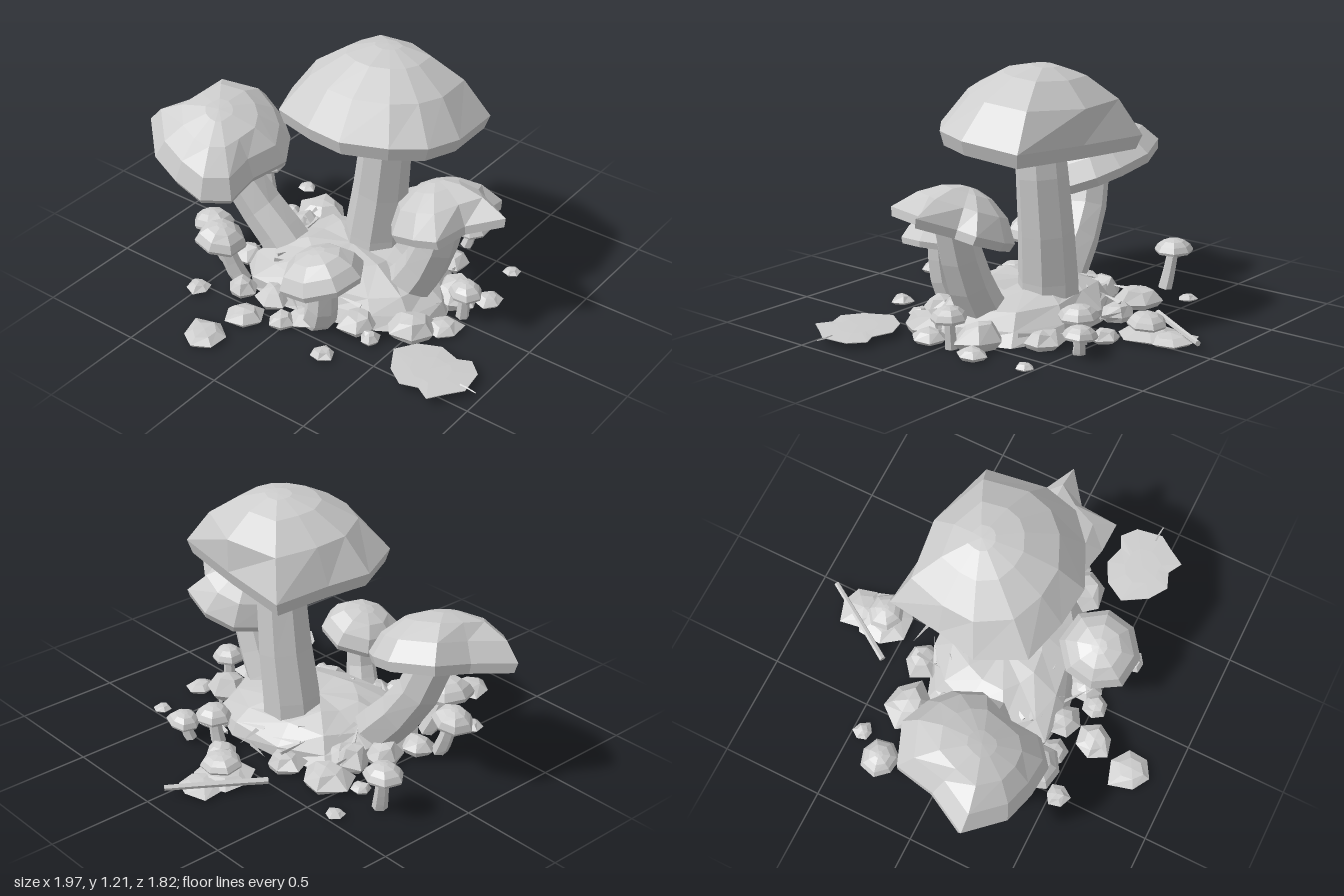
import * as THREE from 'three';

const grey = new THREE.MeshStandardMaterial({ color: 0xcccccc, flatShading: true, side: THREE.DoubleSide });
grey.name = 'paleGrey';

// Small seeded generator for irregular stones and litter
let seed = 11;
const rnd = (a = 0, b = 1) => {
  seed = (seed * 16807) % 2147483647;
  return a + (b - a) * (seed / 2147483647);
};

function add(group, name, geometry) {
  const mesh = new THREE.Mesh(geometry, grey);
  mesh.name = name;
  group.add(mesh);
  return mesh;
}

// Skin a list of equally long rings (ordered from bottom to top)
function loft(rings) {
  const pos = [];
  for (let i = 0; i < rings.length - 1; i++) {
    const n = rings[i].length;
    for (let j = 0; j < n; j++) {
      const k = (j + 1) % n;
      const a = rings[i][j], b = rings[i][k], c = rings[i + 1][j], d = rings[i + 1][k];
      for (const p of [a, c, b, b, c, d]) pos.push(p.x, p.y, p.z);
    }
  }
  const g = new THREE.BufferGeometry();
  g.setAttribute('position', new THREE.Float32BufferAttribute(pos, 3));
  g.computeVertexNormals();
  return g;
}

// Irregular round outline as [x, z] pairs
function roundOutline(x, z, r, n, jitter) {
  const start = rnd(0, 6);
  return Array.from({ length: n }, (_, i) => {
    const a = start + (i / n) * Math.PI * 2, q = r * rnd(1 - jitter, 1 + jitter);
    return [x + Math.cos(a) * q, z + Math.sin(a) * q];
  });
}

// Scaled copies of an outline on a tilted plane, lifted along its normal;
// rough varies the size and height of the middle tiers
function tiered(outline, [cx, cy, cz], [sx, sz], h, profile, rough = 0) {
  const mean = outline.reduce((s, p) => s + Math.hypot(p[0] - cx, p[1] - cz), 0) / outline.length;
  return loft(profile.map(([s, k]) => outline.map(([px, pz]) => {
    const r = Math.hypot(px - cx, pz - cz);
    const uneven = s > 0 && k > 0 ? rough : 0;
    const f = (s < 0.8 ? s * (1 + mean / r) / 2 : s) * rnd(1 - uneven, 1 + uneven * 0.3);
    const lift = h * k * rnd(1 - uneven, 1 + uneven);
    const dx = (px - cx) * f, dz = (pz - cz) * f;
    return new THREE.Vector3(cx + dx - sx * lift, cy + sx * dx + sz * dz + lift, cz + dz - sz * lift);
  })));
}

// Cap profiles: shared gill side, then a conical or a rounder dome
const GILLS = [[0, 0.3], [0.3, 0.27], [0.5, 0.1], [0.62, 0.12], [0.95, 0], [1, 0.18]];
const CONICAL = [...GILLS, [0.76, 0.62], [0.42, 0.89], [0.14, 0.99], [0, 1]];
const ROUND = [...GILLS, [0.84, 0.55], [0.55, 0.85], [0.2, 0.98], [0, 1]];
const STONE = [[0, 0], [0.72, 0], [1, 0.32], [0.55, 0.85], [0, 1]];

// Faceted stem along a curve, radius running from r0 to r1
function stem(points, r0, r1, sides = 7) {
  const curve = new THREE.CatmullRomCurve3(points.map(p => new THREE.Vector3(...p)));
  const steps = 4, rings = [];
  for (let i = 0; i <= steps; i++) {
    const p = curve.getPoint(i / steps), t = curve.getTangent(i / steps);
    const q = new THREE.Quaternion().setFromUnitVectors(new THREE.Vector3(0, 1, 0), t);
    const r = r0 + (r1 - r0) * (i / steps);
    const ring = Array.from({ length: sides }, (_, j) => {
      const a = (j / sides) * Math.PI * 2 + 0.3;
      const v = new THREE.Vector3(Math.cos(a) * r, 0, Math.sin(a) * r).applyQuaternion(q).add(p);
      v.y = Math.max(0, v.y);
      return v;
    });
    if (i === 0) rings.push(ring.map(() => p.clone()));
    rings.push(ring);
    if (i === steps) rings.push(ring.map(() => p.clone()));
  }
  return loft(rings);
}

function mushroom(root, name, o) {
  const g = new THREE.Group();
  g.name = name;
  add(g, 'stem', stem(o.path, o.r0, o.r1, o.sides));
  add(g, 'cap', tiered(o.outline, o.center, o.tilt, o.h, o.dome));
  root.add(g);
}

export function createModel() {
  seed = 11;
  const root = new THREE.Group();
  root.name = 'mushroomCluster';

  // Large mushrooms
  mushroom(root, 'tallMushroom', {
    outline: [[-0.24, -0.44], [0.14, -0.4], [0.52, -0.34], [0.55, -0.05], [0.5, 0.12], [0.37, 0.23], [0.17, 0.32], [-0.02, 0.3], [-0.23, 0.24], [-0.33, 0.02], [-0.28, -0.18]],
    center: [0.1, 0.845, -0.12], tilt: [0.02, 0.09], h: 0.365, dome: CONICAL,
    path: [[0.03, 0.02, -0.12], [0.045, 0.28, -0.13], [0.09, 0.62, -0.14], [0.1, 0.96, -0.115]], r0: 0.15, r1: 0.112, sides: 8,
  });
  mushroom(root, 'leftLeaningMushroom', {
    outline: [[-0.87, -0.11], [-0.67, -0.19], [-0.52, -0.14], [-0.42, -0.07], [-0.35, 0.05], [-0.41, 0.22], [-0.41, 0.38], [-0.52, 0.47], [-0.68, 0.46], [-0.84, 0.42], [-1, 0.27], [-0.9, 0.08]],
    center: [-0.68, 0.55, 0.14], tilt: [-0.25, -0.26], h: 0.235, dome: ROUND,
    path: [[-0.29, 0.05, 0.08], [-0.4, 0.18, 0.09], [-0.53, 0.33, 0.11], [-0.64, 0.6, 0.15]], r0: 0.12, r1: 0.097,
  });
  mushroom(root, 'rightLeaningMushroom', {
    outline: [[0.52, -0.26], [0.68, -0.24], [0.68, -0.13], [0.83, -0.03], [0.69, 0.08], [0.67, 0.27], [0.54, 0.26], [0.4, 0.22], [0.31, 0.1], [0.29, -0.05], [0.38, -0.2]],
    center: [0.53, 0.49, 0], tilt: [0.36, 0.1], h: 0.21, dome: CONICAL,
    path: [[0.3, 0.04, 0.01], [0.39, 0.17, 0.01], [0.47, 0.34, 0.01], [0.53, 0.54, 0.01]], r0: 0.12, r1: 0.094,
  });
  mushroom(root, 'frontMushroom', {
    outline: roundOutline(0.17, 0.43, 0.195, 8, 0.05),
    center: [0.17, 0.28, 0.43], tilt: [0.25, -0.03], h: 0.155, dome: ROUND,
    path: [[0.1, 0, 0.39], [0.15, 0.13, 0.42], [0.17, 0.34, 0.43]], r0: 0.085, r1: 0.06,
  });

  // Small mushrooms: cap centre, cap radius, cap height, tilt, foot position
  [
    [-0.75, 0.18, -0.28, 0.09, 0.07, 0, 0, -0.71, -0.26],
    [-0.47, 0.21, 0.4, 0.12, 0.1, -0.15, 0, -0.38, 0.36],
    [-0.62, 0.18, 0.28, 0.1, 0.08, 0.2, 0.1, -0.55, 0.27],
    [0.62, 0.13, -0.04, 0.08, 0.07, 0, 0, 0.61, -0.04],
    [0.22, 0.12, -0.45, 0.09, 0.07, 0, 0, 0.2, -0.44],
    [0.33, 0.08, -0.54, 0.08, 0.06, 0.1, 0, 0.31, -0.52],
    [-0.05, 0.06, -0.62, 0.095, 0.06, 0, 0.08, -0.06, -0.62],
  ].forEach(([x, y, z, r, h, sx, sz, fx, fz]) => mushroom(root, 'smallMushroom', {
    outline: roundOutline(x, z, r, 7, 0.1), center: [x, y, z], tilt: [sx, sz], h, dome: ROUND,
    path: [[fx, 0, fz], [(fx + x) / 2, y / 2, (fz + z) / 2], [x, y + h * 0.4, z]], r0: r * 0.4, r1: r * 0.3, sides: 6,
  }));

  // Rough earth mound, open underneath, and a low stony patch behind it
  add(root, 'mound', tiered(
    [[0.55, 0], [0.51, 0.2], [0.34, 0.3], [0.15, 0.36], [-0.1, 0.4], [-0.3, 0.37], [-0.46, 0.22], [-0.4, -0.05], [-0.34, -0.25], [-0.1, -0.33], [0.2, -0.36], [0.45, -0.25]],
    [0, 0, 0], [0, 0], 0.18, [[1, 0], [0.98, 0.35], [0.8, 0.72], [0.45, 0.98], [0, 1]], 0.1));
  add(root, 'backMound', tiered(roundOutline(-0.07, -0.62, 0.14, 7, 0.15), [-0.07, 0, -0.62], [0, 0], 0.05, STONE, 0.15));
  add(root, 'backStone', tiered(roundOutline(-0.07, -0.74, 0.12, 7, 0.12), [-0.07, 0, -0.74], [0, 0], 0.045, STONE, 0.15));

  // Loose stones: x, z, radius, height
  [
    [-0.18, 0.58, 0.1, 0.06], [-0.23, 0.8, 0.12, 0.05], [-0.5, 0.53, 0.06, 0.04], [0.27, 0.58, 0.06, 0.04],
    [0.38, 0.37, 0.05, 0.05], [-0.02, 0.51, 0.07, 0.06], [-0.56, -0.23, 0.055, 0.04], [-0.63, -0.45, 0.05, 0.03],
    [0.61, -0.46, 0.05, 0.03], [-0.41, -0.31, 0.13, 0.09], [0.1, -0.5, 0.08, 0.06], [0.65, -0.2, 0.07, 0.05],
    [-0.32, 0.43, 0.08, 0.08], [-0.38, -0.12, 0.1, 0.12], [0.5, 0.2, 0.12, 0.1], [0.52, -0.12, 0.12, 0.12],
    [0.6, 0.1, 0.09, 0.06], [-0.48, 0.2, 0.09, 0.08], [0.05, 0.42, 0.09, 0.07], [0.34, -0.34, 0.1, 0.08],
    [-0.18, -0.36, 0.1, 0.08], [0.28, 0.32, 0.1, 0.09], [-0.15, 0.4, 0.09, 0.09], [-0.44, 0.02, 0.09, 0.1],
  ].forEach(([x, z, r, h]) =>
    add(root, 'stone', tiered(roundOutline(x, z, r, 6, 0.15), [x, 0, z], [0, 0], h, STONE, 0.15)));

  // Stones bedded beneath the mound
  for (let i = 0; i < 14; i++) {
    const a = i * 2.4, r = 0.09 * Math.sqrt(i + 0.5);
    const x = Math.cos(a) * r * 1.15, z = Math.sin(a) * r * 0.85;
    add(root, 'beddedStone', tiered(roundOutline(x, z, 0.1, 6, 0.18), [x, 0.01, z], [0, 0], 0.09, STONE, 0.18));
  }

  // Thin litter slivers over the mound and its edge
  const sliver = new THREE.ConeGeometry(0.012, 0.14, 3).rotateZ(Math.PI / 2);
  for (let i = 0; i < 30; i++) {
    const a = i * 2.4, r = rnd(0.24, 0.52);
    const m = add(root, 'litter', sliver);
    m.position.set(Math.cos(a) * r, Math.max(0.04, 0.24 - r * 0.36), Math.sin(a) * r * 0.85);
    m.rotation.set(0, rnd(0, 6.28), rnd(-0.2, 0.2));
  }

  // Fallen lobed leaf and its short stalk
  add(root, 'leaf', tiered(
    [[0.94, 0.43], [0.89, 0.5], [0.84, 0.58], [0.77, 0.54], [0.69, 0.57], [0.6, 0.51], [0.53, 0.39], [0.59, 0.29], [0.69, 0.24], [0.79, 0.27], [0.85, 0.24], [0.92, 0.3]],
    [0.74, 0.036, 0.41], [-0.02, 0.03], 0.009, [[0, 0], [1, 0], [1, 0.4], [0.5, 0.9], [0, 1]]));
  add(root, 'leafStalk', stem([[0.9, 0.036, 0.41], [0.94, 0.036, 0.41], [0.985, 0.036, 0.415]], 0.006, 0.003, 4));

  // Fallen twig
  add(root, 'twig', stem([[-0.27, 0.042, -0.53], [-0.14, 0.045, -0.73], [-0.02, 0.047, -0.92]], 0.016, 0.013, 6));
  return root;
}
